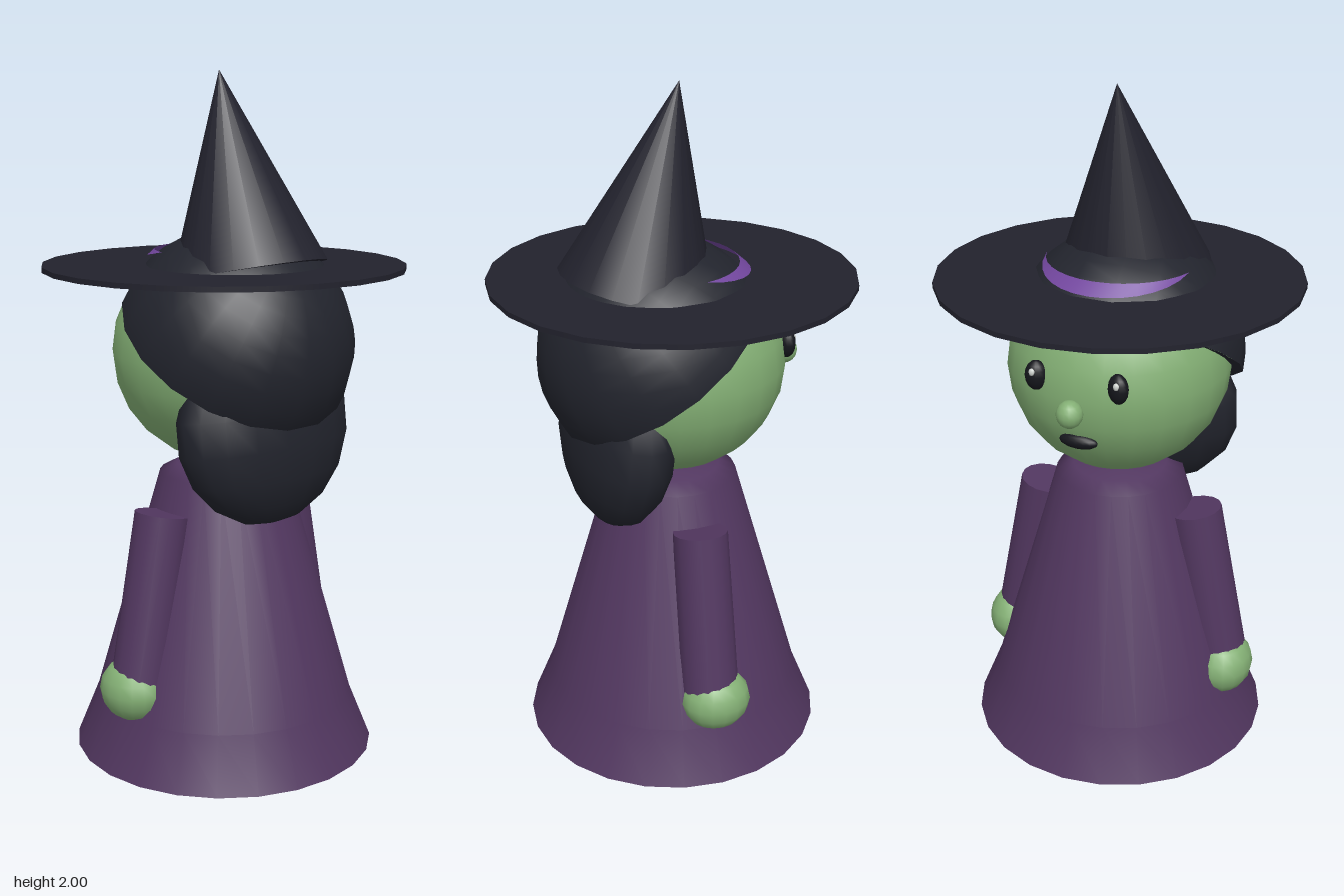
import * as THREE from 'three';

export function createModel() {
  const model = new THREE.Group();
  const mat = (name, color, extra = {}) => {
    const m = new THREE.MeshStandardMaterial({ color, ...extra });
    m.name = name;
    return m;
  };
  const skin = mat('green skin', 0x84b075);
  const robe = mat('purple robe', 0x523760);
  const hatBlack = mat('hat black', 0x22222d, { side: THREE.DoubleSide });
  const hairBlack = mat('hair black', 0x22242d, { side: THREE.DoubleSide });
  const bandPurple = mat('band purple', 0x73479f, { side: THREE.DoubleSide });
  const dark = mat('feature black', 0x15161c);
  const glint = mat('eye glint', 0xd0d4d0);

  const add = (name, geometry, material, x = 0, y = 0, z = 0) => {
    const mesh = new THREE.Mesh(geometry, material);
    mesh.name = name;
    mesh.position.set(x, y, z);
    model.add(mesh);
    return mesh;
  };
  const ellipsoid = (name, material, [x, y, z], [rx, ry, rz], seg = 16) => {
    const mesh = add(name, new THREE.SphereGeometry(1, seg, Math.max(8, seg / 2)), material, x, y, z);
    mesh.scale.set(rx, ry, rz);
    return mesh;
  };

  // Robe: flared bell with a closed hem
  const profile = [[0.45, 0], [0.385, 0.16], [0.19, 0.84], [0.14, 0.865], [0.06, 0.882], [0, 0.884]];
  add('robe', new THREE.LatheGeometry(profile.map(p => new THREE.Vector2(...p)), 24), robe);
  add('hem', new THREE.CircleGeometry(0.45, 24), robe).rotation.x = Math.PI / 2;

  // Arms and hands
  for (const s of [1, -1]) {
    const top = new THREE.Vector3(0.242 * s, 0.75, 0);
    const end = new THREE.Vector3(0.328 * s, 0.27, 0);
    const dir = top.clone().sub(end);
    const arm = add(s > 0 ? 'leftArm' : 'rightArm',
      new THREE.CylinderGeometry(0.08, 0.087, dir.length(), 16), robe);
    arm.position.copy(top).add(end).multiplyScalar(0.5);
    arm.quaternion.setFromUnitVectors(new THREE.Vector3(0, 1, 0), dir.normalize());
    ellipsoid(s > 0 ? 'leftHand' : 'rightHand', skin, [0.35 * s, 0.238, -0.012], [0.09, 0.093, 0.105]);
  }

  // Head and face, looking towards -z
  ellipsoid('head', skin, [0, 1.2, 0], [0.325, 0.325, 0.33], 24);
  ellipsoid('nose', skin, [0, 1.175, -0.355], [0.038, 0.04, 0.038]);
  ellipsoid('mouth', dark, [0, 1.067, -0.298], [0.058, 0.022, 0.022]);
  for (const s of [1, -1]) {
    const side = s > 0 ? 'left' : 'right';
    ellipsoid(side + 'Eye', dark, [0.122 * s, 1.25, -0.304], [0.032, 0.044, 0.025]).rotation.y = 0.36 * s;
    ellipsoid(side + 'EyeGlint', glint, [0.125 * s, 1.266, -0.326], [0.009, 0.011, 0.007], 8);
  }

  // Hair: tilted half-sphere cap with a rim, and a long lock at the back
  const tilt = 0.612;
  add('hairCap', new THREE.SphereGeometry(0.35, 18, 10, 0, Math.PI * 2, 0, Math.PI / 2),
    hairBlack, 0, 1.22, 0.045).rotation.x = tilt;
  add('hairRim', new THREE.RingGeometry(0.29, 0.349, 18), hairBlack, 0, 1.22, 0.045).rotation.x = tilt + Math.PI / 2;
  ellipsoid('backHair', hairBlack, [0, 1.0, 0.172], [0.31, 0.285, 0.152], 18).rotation.x = -0.12;

  // Hat: flat brim and a cone leaning forward
  add('hatBrim', new THREE.CylinderGeometry(0.527, 0.527, 0.015, 24), hatBlack, 0, 1.448, 0);
  add('hatCone', new THREE.ConeGeometry(0.226, 0.574, 20), hatBlack, 0, 1.72, 0.0435).rotation.x = -0.223;

  // Hat band: crescent strip sloping down over the front of the crown
  const pos = [], idx = [], n = 14;
  for (let i = 0; i <= n; i++) {
    const t = -1 + (2 * i) / n;
    const front = 1 - t * t;
    const a = t * 1.48, b = t * 1.305;
    pos.push(0.2157 * Math.sin(a), 1.499 - 0.03 * front, -0.008 - 0.2157 * Math.cos(a));
    pos.push(0.2226 * Math.sin(b), 1.5, 0.034 - 0.2226 * Math.cos(b));
    if (i < n) idx.push(2 * i, 2 * i + 2, 2 * i + 1, 2 * i + 1, 2 * i + 2, 2 * i + 3);
  }
  const band = new THREE.BufferGeometry();
  band.setAttribute('position', new THREE.Float32BufferAttribute(pos, 3));
  band.setIndex(idx.reverse());
  band.computeVertexNormals();
  if (band.attributes.normal.getY(n) < 0) {
    band.setIndex(idx.reverse());
    band.computeVertexNormals();
  }
  add('hatBand', band, bandPurple);

  return model;
}
